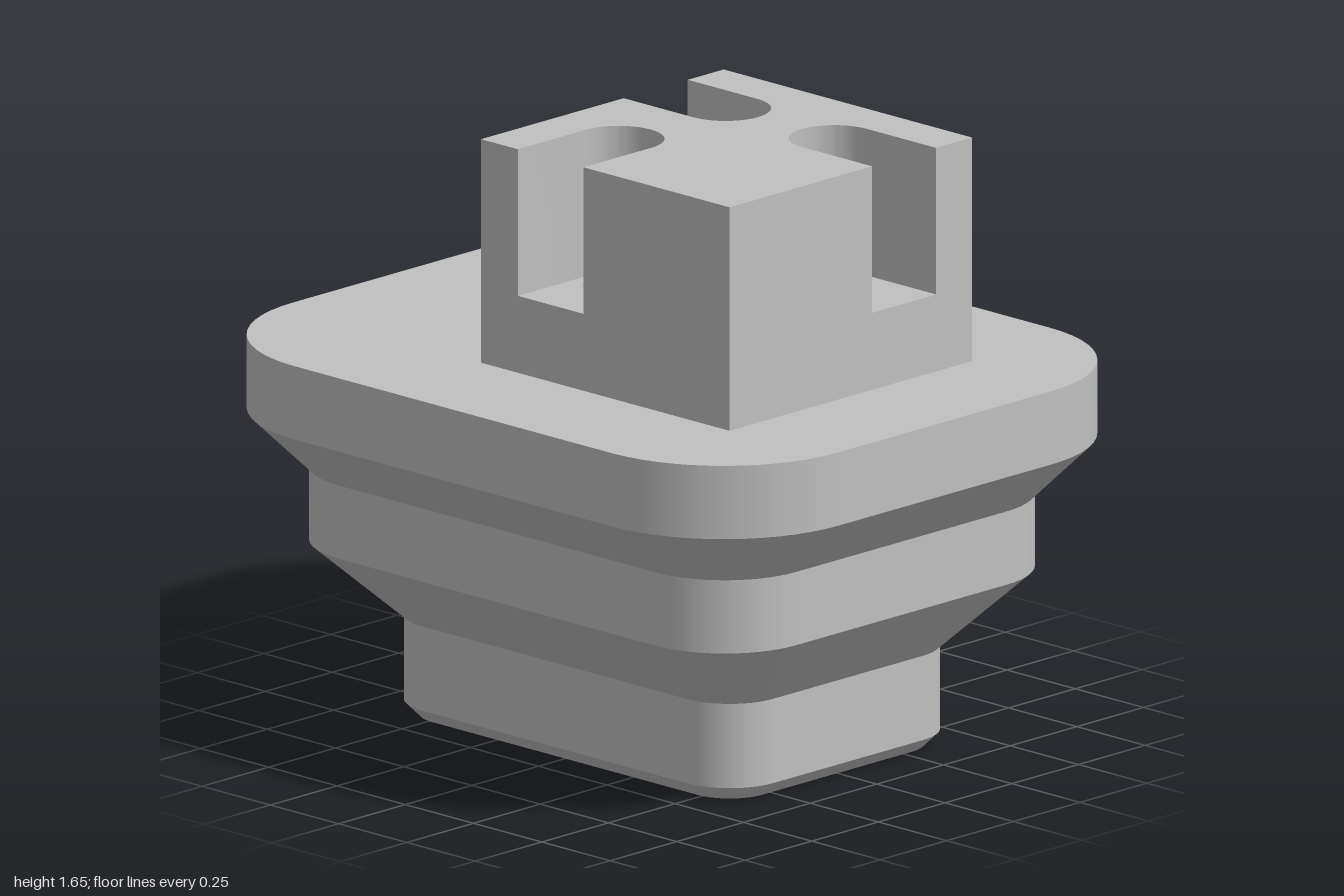
import * as THREE from 'three';
import { toCreasedNormals } from 'three/addons/utils/BufferGeometryUtils.js';

const gray = new THREE.MeshStandardMaterial({ color: 0xc0c0c0 });
gray.name = 'plain gray';

// Bore centres as [x, z]
const BORES = [[0, 0.2], [0, -0.2], [0.4, -0.2]];
const BORE_R = 0.095, SLOT_R = 0.12;
const BASE_TOP = 1.04, SLOT_FLOOR = 1.25, BLOCK_TOP = 1.65;
const BLOCK = { x0: -0.255, x1: 0.655, z: 0.455 };

// Base cross-sections: height, half width, half depth, corner radius
const SECTIONS = [
  [0, 0.605, 0.4, 0.12],
  [0.04, 0.645, 0.44, 0.16],
  [0.27, 0.645, 0.44, 0.16],
  [0.48, 0.84, 0.655, 0.26],
  [0.68, 0.84, 0.655, 0.26],
  [0.84, 1, 0.82, 0.42],
  [BASE_TOP, 1, 0.82, 0.42],
];
const STEPS = 14;

// Rounded rectangle as points with their outward angle
function ring([y, hx, hz, r]) {
  const points = [];
  for (let q = 0; q < 4; q++) {
    const sx = q === 0 || q === 3 ? 1 : -1, sz = q < 2 ? 1 : -1;
    for (let i = 0; i <= STEPS; i++) {
      const a = (q + i / STEPS) * Math.PI / 2;
      points.push({ a, y, x: sx * (hx - r) + r * Math.cos(a), z: sz * (hz - r) + r * Math.sin(a) });
    }
  }
  return points;
}

// One wall band between two sections, smooth around and sharp at its rims
function bandGeometry(lower, upper) {
  const rings = [ring(lower), ring(upper)], n = rings[0].length;
  const [dy, dx, dz, dr] = upper.map((v, i) => v - lower[i]);
  const position = [], normal = [], index = [];
  for (const points of rings) {
    for (const p of points) {
      const c = Math.cos(p.a), s = Math.sin(p.a);
      const grow = (dx - dr) * Math.abs(c) + (dz - dr) * Math.abs(s) + dr;
      position.push(p.x, p.y, p.z);
      normal.push(...new THREE.Vector3(c * dy, -grow, s * dy).normalize().toArray());
    }
  }
  for (let i = 0; i < n; i++) {
    const j = (i + 1) % n;
    index.push(i, n + i, j, j, n + i, n + j);
  }
  const g = new THREE.BufferGeometry();
  g.setAttribute('position', new THREE.Float32BufferAttribute(position, 3));
  g.setAttribute('normal', new THREE.Float32BufferAttribute(normal, 3));
  g.setIndex(index);
  return g;
}

// Cut the three round bores out of a plan shape (shape y is -z)
function cutBores(shape) {
  for (const [x, z] of BORES) {
    shape.holes.push(new THREE.Path().absarc(x, -z, BORE_R, 0, Math.PI * 2, true));
  }
  return shape;
}

function capGeometry(section, up) {
  const outline = ring(section).map(p => new THREE.Vector2(p.x, -p.z));
  const g = new THREE.ShapeGeometry(cutBores(new THREE.Shape(outline)), 20);
  g.rotateX(-Math.PI / 2);
  if (!up) {
    // Reverse the corners so the face looks down
    const idx = g.index.array;
    for (let i = 0; i < idx.length; i += 3) [idx[i], idx[i + 1]] = [idx[i + 1], idx[i]];
    g.computeVertexNormals();
  }
  return g.translate(0, section[0], 0);
}

// Stand a plan shape up between two heights
function prism(shape, y0, y1) {
  const g = new THREE.ExtrudeGeometry(shape, { depth: y1 - y0, bevelEnabled: false, curveSegments: 20 });
  g.rotateX(-Math.PI / 2).translate(0, y0, 0);
  return toCreasedNormals(g, Math.PI / 6);
}

// Solid lower block outline
function blockShape() {
  const { x0, x1, z } = BLOCK;
  return new THREE.Shape([[x0, -z], [x1, -z], [x1, z], [x0, z]].map(p => new THREE.Vector2(...p)));
}

// Upper block outline with a front, a right-hand and a left-hand slot
function slottedShape() {
  const { x0, x1, z } = BLOCK, r = SLOT_R, h = Math.PI / 2;
  const s = new THREE.Shape();
  s.moveTo(x0, -z);
  s.lineTo(-r, -z);
  s.lineTo(-r, -0.2);
  s.absarc(0, -0.2, r, Math.PI, 0, true);
  s.lineTo(r, -z);
  s.lineTo(x1, -z);
  s.lineTo(x1, 0.2 - r);
  s.lineTo(0.4, 0.2 - r);
  s.absarc(0.4, 0.2, r, -h, h, true);
  s.lineTo(x1, 0.2 + r);
  s.lineTo(x1, z);
  s.lineTo(x0, z);
  s.lineTo(x0, 0.2 + r);
  s.lineTo(0, 0.2 + r);
  s.absarc(0, 0.2, r, h, -h, true);
  s.lineTo(x0, 0.2 - r);
  s.closePath();
  return s;
}

export function createModel() {
  const model = new THREE.Group();
  model.name = 'steppedPlug';
  const add = (parent, name, geometry) => {
    const mesh = new THREE.Mesh(geometry, gray);
    mesh.name = name;
    parent.add(mesh);
    return mesh;
  };

  // Stepped base
  const base = new THREE.Group();
  base.name = 'steppedBase';
  model.add(base);
  const names = ['bottomChamfer', 'lowerWall', 'lowerFlare', 'middleWall', 'upperFlare', 'flangeWall'];
  names.forEach((name, i) => add(base, name, bandGeometry(SECTIONS[i], SECTIONS[i + 1])));
  add(base, 'bottomFace', capGeometry(SECTIONS[0], false));
  add(base, 'flangeTop', capGeometry(SECTIONS[6], true));

  // Inward-facing bore walls through the base
  for (const [x, z] of BORES) {
    const profile = [new THREE.Vector2(BORE_R, BASE_TOP), new THREE.Vector2(BORE_R, 0)];
    add(base, 'boreWall', new THREE.LatheGeometry(profile, 40)).position.set(x, 0, z);
  }

  // Off-centre block: drilled below, slotted above
  const block = new THREE.Group();
  block.name = 'slottedBlock';
  model.add(block);
  add(block, 'drilledBlock', prism(cutBores(blockShape()), BASE_TOP, SLOT_FLOOR));
  add(block, 'slottedTop', prism(slottedShape(), SLOT_FLOOR, BLOCK_TOP));

  return model;
}
